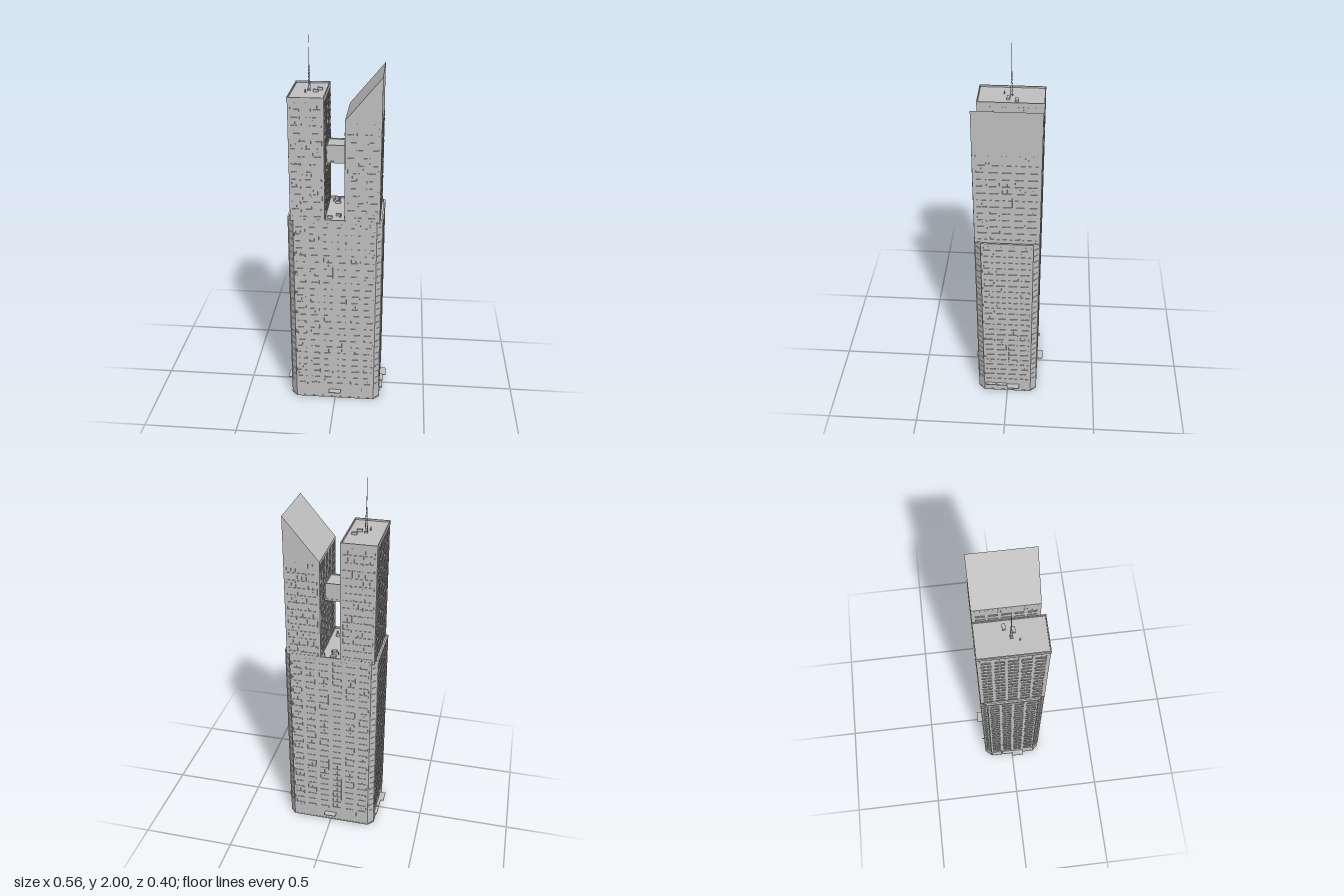
import * as THREE from 'three';
import { mergeGeometries } from 'three/addons/utils/BufferGeometryUtils.js';

const concrete = new THREE.MeshStandardMaterial({ color: 0xc0c0c0 });
const wallMat = concrete.clone();
wallMat.side = THREE.DoubleSide;
concrete.name = 'concrete grey';
wallMat.name = 'concrete grey thin walls';

// box given by its lower and upper limits
function box(x0, x1, y0, y1, z0, z1) {
  return new THREE.BoxGeometry(x1 - x0, y1 - y0, z1 - z0)
    .translate((x0 + x1) / 2, (y0 + y1) / 2, (z0 + z1) / 2);
}

// plan outline with chamfered corners
function octagon(x, z, cx, cz, Type = THREE.Shape) {
  return new Type([
    [cx, -z], [x, -cz], [x, cz], [cx, z], [-cx, z], [-x, cz], [-x, -cz], [-cx, -z],
  ].map(p => new THREE.Vector2(...p)));
}

function prism(shape, y0, y1) {
  return new THREE.ExtrudeGeometry(shape, { depth: y1 - y0, bevelEnabled: false })
    .rotateX(-Math.PI / 2).translate(0, y0, 0);
}

// hollow rectangular rim
function rim(x0, x1, z0, z1, y0, y1, t) {
  return mergeGeometries([
    box(x0, x1, y0, y1, z0, z0 + t), box(x0, x1, y0, y1, z1 - t, z1),
    box(x0, x0 + t, y0, y1, z0 + t, z1 - t), box(x1 - t, x1, y0, y1, z0 + t, z1 - t),
  ]);
}

// floor bands and thin fins on one wall; the wall faces +z before it is turned
function facade(centres, w, y0, y1, turn, dist, shift = 0) {
  const parts = [], pitch = 0.04, d = 0.003;
  for (const c of centres) {
    for (let y = y0; y + pitch <= y1 + 0.001; y += pitch) {
      parts.push(box(c - w / 2, c + w / 2, y + 0.004, y + 0.017, -0.001, d));
    }
    for (const s of [-1, 0, 1]) {
      const x = c + s * w / 2;
      parts.push(box(x - 0.0015, x + 0.0015, y0, y1, -0.001, d * 0.6));
    }
  }
  return mergeGeometries(parts).translate(0, 0, dist).rotateY(turn).translate(shift, 0, 0);
}

export function createModel() {
  const model = new THREE.Group();
  const add = (name, geometry, material = concrete) => {
    const mesh = new THREE.Mesh(geometry, material);
    mesh.name = name;
    model.add(mesh);
    return mesh;
  };
  const H = Math.PI / 2;

  // lower block, its roof rim and the open lobby below
  add('lowerBlock', prism(octagon(0.245, 0.165, 0.215, 0.132), 0.075, 1.09));
  const rimShape = octagon(0.248, 0.166, 0.216, 0.133);
  rimShape.holes.push(octagon(0.239, 0.159, 0.211, 0.129, THREE.Path));
  add('lowerRoofRim', prism(rimShape, 1.085, 1.1));
  const pts = octagon(0.247, 0.166, 0.216, 0.132).getPoints();
  const lobby = [];
  for (let i = 0; i < 8; i++) {
    const a = pts[i], b = pts[(i + 1) % 8];
    const len = a.distanceTo(b);
    const angle = Math.atan2(b.y - a.y, b.x - a.x);
    lobby.push(new THREE.PlaneGeometry(len, 0.08).rotateY(-angle)
      .translate((a.x + b.x) / 2, 0.04, (a.y + b.y) / 2));
  }
  add('lobbyWalls', mergeGeometries(lobby), wallMat);
  const plinth = octagon(0.248, 0.167, 0.217, 0.133);
  plinth.holes.push(octagon(0.24, 0.159, 0.212, 0.129, THREE.Path));
  add('plinth', prism(plinth, 0, 0.008));

  // lobby columns inside the walls
  const columns = [];
  for (const s of [-1, 1]) {
    for (let i = -3; i <= 3; i++) {
      const x = i * 0.07;
      columns.push(box(x - 0.003, x + 0.003, 0.008, 0.075, s * 0.162 - 0.003, s * 0.162 + 0.003));
    }
    for (let i = -2; i <= 2; i++) {
      const z = i * 0.06;
      columns.push(box(s * 0.243 - 0.003, s * 0.243 + 0.003, 0.008, 0.075, z - 0.003, z + 0.003));
    }
  }
  add('lobbyColumns', mergeGeometries(columns));

  // twin towers: one flat-topped, one with a sloping crown
  add('flatTower', box(-0.23, -0.052, 1.09, 1.726, -0.165, 0.165));
  add('flatTowerParapet', rim(-0.232, -0.052, -0.167, 0.167, 1.715, 1.735, 0.005));
  const slope = new THREE.Shape([[0.05, 1.09], [0.23, 1.09], [0.23, 1.84], [0.05, 1.625]]
    .map(p => new THREE.Vector2(...p)));
  add('slopedTower', new THREE.ExtrudeGeometry(slope, { depth: 0.33, bevelEnabled: false })
    .translate(0, 0, -0.165));

  // bridge between the towers
  add('bridge', box(-0.052, 0.05, 1.37, 1.46, -0.058, 0.058));
  add('bridgeParapet', rim(-0.052, 0.05, -0.06, 0.06, 1.45, 1.466, 0.004));
  add('bridgeBand', rim(-0.052, 0.05, -0.06, 0.06, 1.37, 1.38, 0.004));

  // window grids on every wall
  const longBays = [-0.18, -0.108, -0.036, 0.036, 0.108, 0.18];
  const endBays = [-0.096, -0.032, 0.032, 0.096];
  const towerBays = [-0.124, -0.062, 0, 0.062, 0.124];
  for (const turn of [0, Math.PI]) {
    add('lowerLongFacade', facade(longBays, 0.047, 0.08, 1.08, turn, 0.165));
    add('flatTowerFacade', facade([-0.072, 0, 0.072].map(v => v * 0.75), 0.045, 1.1, 1.71, turn, 0.165, -0.141));
    add('slopedTowerFacade', facade([-0.072, 0, 0.072].map(v => v * 0.75), 0.045, 1.1, 1.61, turn, 0.165, 0.14));
  }
  for (const s of [-1, 1]) {
    add('lowerEndFacade', facade(endBays, 0.05, 0.08, 1.08, s * H, 0.245));
    const top = s > 0 ? 1.61 : 1.71;
    add('towerOuterFacade', facade(towerBays, 0.048, 1.1, top, s * H, 0.23));
    add('towerInnerFacade', facade(towerBays, 0.048, 1.1, top, -s * H, 0, s > 0 ? 0.05 : -0.052));
  }

  // chamfered corners: slim piers and small window ledges
  const corners = [];
  for (const sx of [-1, 1]) for (const sz of [-1, 1]) {
    const px = sx * 0.213, pz = sz * 0.165, ex = sx * 0.245, ez = sz * 0.131;
    corners.push(box(px - 0.003, px + 0.003, 0.07, 1.09, pz - 0.003, pz + 0.003));
    corners.push(box(ex - 0.003, ex + 0.003, 0.07, 1.09, ez - 0.003, ez + 0.003));
    for (let i = 0; i < 25; i++) {
      corners.push(new THREE.BoxGeometry(0.022, 0.005, 0.004)
        .rotateY(Math.atan2(sx * 0.033, sz * 0.03))
        .translate(sx * 0.23, 0.1 + i * 0.04, sz * 0.1485));
    }
  }
  add('cornerPiers', mergeGeometries(corners));

  // entrance canopies and sign brackets, repeated by a half turn
  for (const s of [1, -1]) {
    const entrance = new THREE.Group();
    entrance.name = 'entranceCanopies';
    const plates = [
      box(-0.033, 0.033, 0.05, 0.054, 0.16, 0.198),
      box(0.24, 0.279, 0.05, 0.054, -0.068, 0),
      box(0.24, 0.263, 0.054, 0.06, 0.002, 0.061),
      box(0.24, 0.263, 0.054, 0.06, 0.067, 0.125),
      box(0.149, 0.151, 0.058, 0.08, 0.165, 0.178),
    ];
    const mesh = new THREE.Mesh(mergeGeometries(plates), concrete);
    mesh.name = 'canopyPlates';
    entrance.add(mesh);
    entrance.rotation.y = s > 0 ? 0 : Math.PI;
    model.add(entrance);
  }

  // roof machinery
  const units = [];
  for (const [x, z, y] of [[-0.09, -0.028, 1.726], [-0.108, 0.014, 1.726], [-0.011, -0.139, 1.09],
    [-0.005, -0.089, 1.09], [0.013, 0.08, 1.09], [-0.03, 0.112, 1.09]]) {
    units.push(box(x - 0.0135, x + 0.0135, y, y + 0.012, z - 0.008, z + 0.008));
  }
  for (const [x, z, y] of [[-0.157, 0.037, 1.726], [-0.031, -0.11, 1.09], [0.001, -0.108, 1.09],
    [0.037, -0.134, 1.09], [0.023, 0.103, 1.09]]) {
    units.push(new THREE.CylinderGeometry(0.003, 0.003, 0.018, 10).translate(x, y + 0.009, z));
  }
  add('roofUnits', mergeGeometries(units));

  // lattice mast with a slim tip
  const rod = (a, b, r) => new THREE.TubeGeometry(
    new THREE.LineCurve3(new THREE.Vector3(...a), new THREE.Vector3(...b)), 1, r, 4);
  const mast = [new THREE.CylinderGeometry(0.0008, 0.0018, 0.15, 6).translate(0, 0.199, 0)];
  const half = y => 0.006 - 0.035 * y;
  for (let k = 0; k < 4; k++) {
    const at = (q, y) => {
      const a = q * H + H / 2, r = half(y) * Math.SQRT2;
      return [r * Math.cos(a), y, r * Math.sin(a)];
    };
    mast.push(rod(at(k, 0), at(k, 0.13), 0.0009));
    for (let i = 0; i < 8; i++) {
      mast.push(rod(at(k, i * 0.016), at(k + 1, (i + 1) * 0.016), 0.0005));
    }
  }
  const antenna = add('antennaMast', mergeGeometries(mast));
  antenna.position.set(-0.142, 1.726, 0);

  return model;
}
